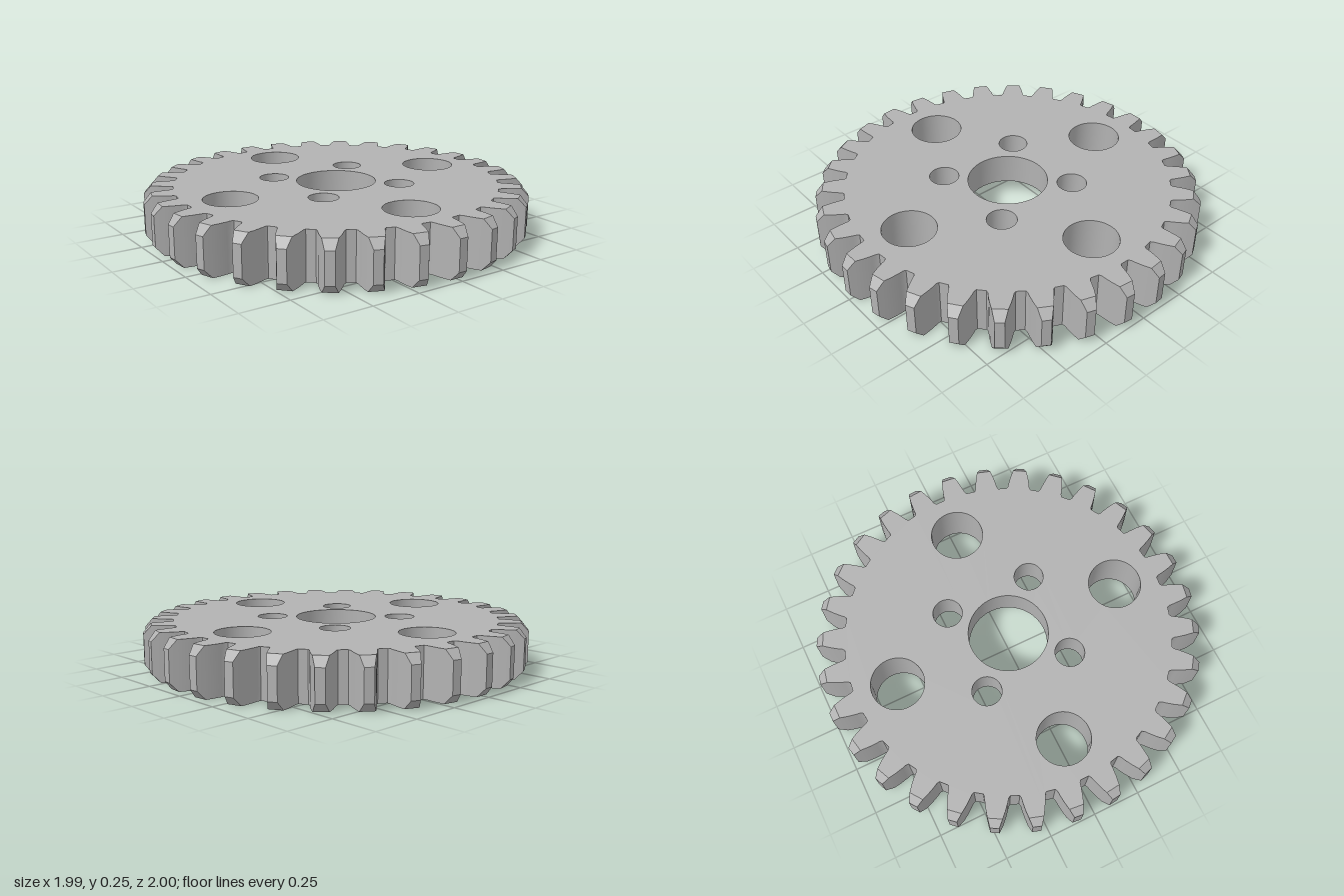
import * as THREE from 'three';
import { toCreasedNormals } from 'three/addons/utils/BufferGeometryUtils.js';

const TEETH = 30, HEIGHT = 0.25, BEVEL = 0.045;
const RECESS_RADIUS = 0.465, RECESS_DEPTH = 0.085;

// Half tooth, root to tip: [radius, half width]
const FLANK = [[0.845, 0.066], [0.858, 0.059], [0.88, 0.056], [0.92, 0.048], [0.96, 0.037], [1, 0.023]];

// Counter-clockwise gear outline; a bevelled one has its tips cut back
function gearOutline(bevelled) {
  const half = FLANK.map((p, i) => (bevelled && i === FLANK.length - 1 ? FLANK[i - 1] : p));
  const tooth = [
    ...half.map(([r, w]) => [r, -w]),
    ...half.slice().reverse(),
  ];
  const points = [];
  for (let i = 0; i < TEETH; i++) {
    const a = Math.PI / 2 + (i / TEETH) * Math.PI * 2;
    const c = Math.cos(a), s = Math.sin(a);
    for (const [r, w] of tooth) points.push(new THREE.Vector2(r * c - w * s, r * s + w * c));
  }
  return points;
}

function circle(x, y, radius, segments = 64) {
  return Array.from({ length: segments }, (_, i) => {
    const a = (i / segments) * Math.PI * 2;
    return new THREE.Vector2(x + radius * Math.cos(a), y + radius * Math.sin(a));
  });
}

// Wall through a stack of [outline, height] levels, facing outward
function wall(levels) {
  const positions = [];
  const triangle = (a, b, c) => {
    if (new THREE.Triangle(a, b, c).getArea() < 1e-9) return;
    for (const v of [a, b, c]) positions.push(v.x, v.y, v.z);
  };
  for (let k = 0; k < levels.length - 1; k++) {
    const [low, y0] = levels[k], [high, y1] = levels[k + 1];
    for (let i = 0; i < low.length; i++) {
      const j = (i + 1) % low.length;
      const at = (p, y) => new THREE.Vector3(p.x, y, -p.y);
      const a = at(low[i], y0), b = at(low[j], y0), c = at(high[j], y1), d = at(high[i], y1);
      triangle(a, b, c);
      triangle(a, c, d);
    }
  }
  const geometry = new THREE.BufferGeometry();
  geometry.setAttribute('position', new THREE.Float32BufferAttribute(positions, 3));
  return toCreasedNormals(geometry, Math.PI / 7);
}

// Wall of a hole, facing its axis
function bore(outline, y0, y1) {
  const inward = outline.slice().reverse();
  return wall([[inward, y0], [inward, y1]]);
}

// Flat face with holes, turned up or down
function face(outline, holes, y, up) {
  const shape = new THREE.Shape(outline);
  for (const hole of holes) shape.holes.push(new THREE.Path(hole));
  return new THREE.ShapeGeometry(shape).rotateX(up ? -Math.PI / 2 : Math.PI / 2).translate(0, y, 0);
}

export function createModel() {
  const model = new THREE.Group();
  model.name = 'spurGear';
  const steel = new THREE.MeshStandardMaterial({ color: 0xb2b2b2 });
  steel.name = 'steelGrey';
  const add = (name, geometry) => {
    const mesh = new THREE.Mesh(geometry, steel);
    mesh.name = name;
    model.add(mesh);
  };

  const full = gearOutline(false), cut = gearOutline(true);
  const centre = circle(0, 0, 0.208);
  const recess = circle(0, 0, RECESS_RADIUS, 96);
  const large = [], small = [];
  for (let i = 0; i < 4; i++) {
    const a = (i * Math.PI) / 2, b = a + Math.PI / 4;
    large.push(circle(0.627 * Math.cos(a), 0.627 * Math.sin(a), 0.138, 48));
    small.push(circle(0.335 * Math.cos(b), 0.335 * Math.sin(b), 0.077, 40));
  }

  // Toothed rim with bevelled tips
  add('toothedRim', wall([[cut, 0], [full, BEVEL], [full, HEIGHT - BEVEL], [cut, HEIGHT]]));

  // Top, underside and recess floor
  add('topFace', face(cut, [centre, ...large, ...small], HEIGHT, true));
  add('underside', face(cut, [recess, ...large], 0, false));
  add('recessFloor', face(recess, [centre, ...small], RECESS_DEPTH, false));

  // Inner walls
  add('recessWall', bore(recess, 0, RECESS_DEPTH));
  add('centreBore', bore(centre, RECESS_DEPTH, HEIGHT));
  large.forEach((hole) => add('lighteningHole', bore(hole, 0, HEIGHT)));
  small.forEach((hole) => add('boltHole', bore(hole, RECESS_DEPTH, HEIGHT)));

  return model;
}
